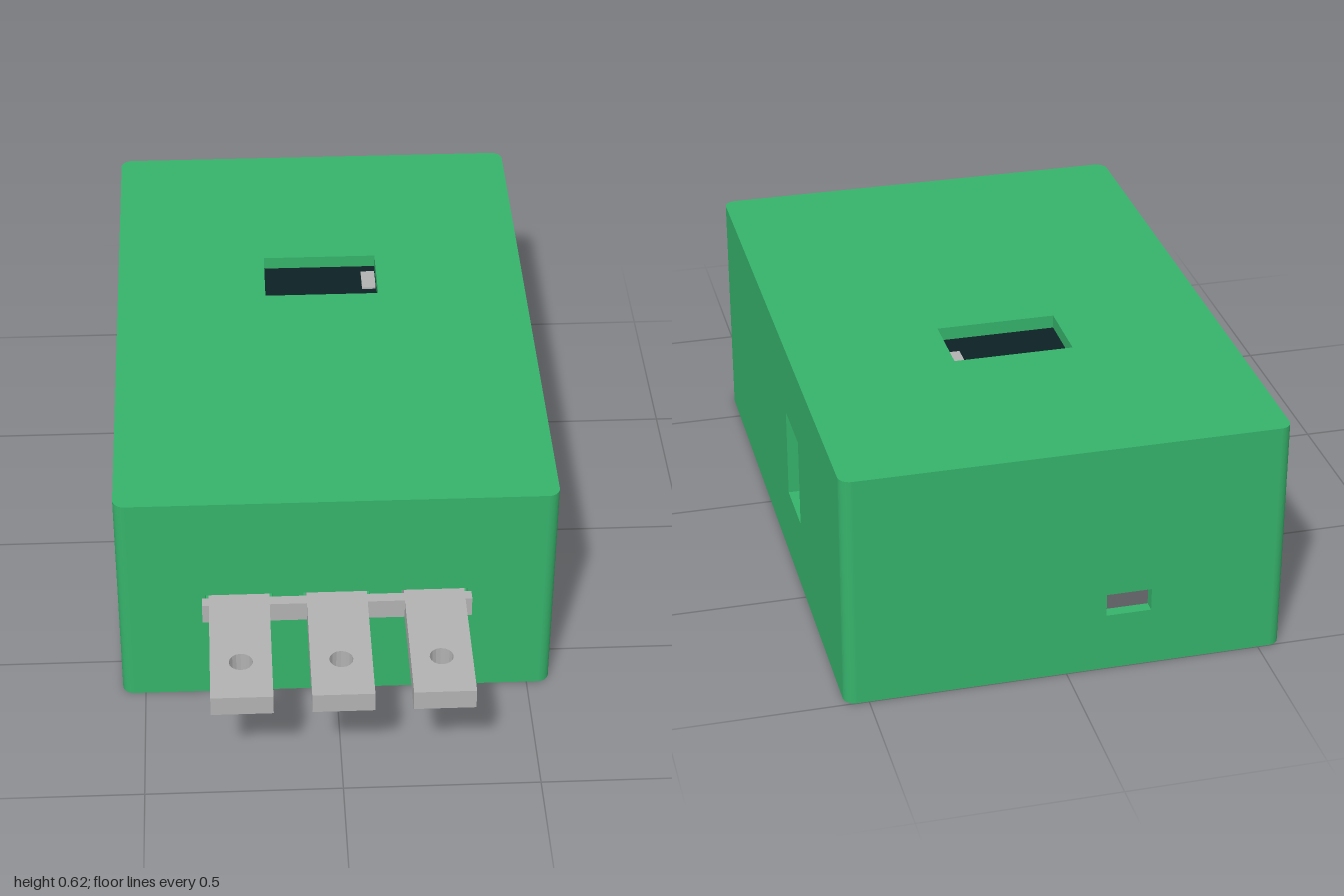
import * as THREE from 'three';

const mat = (name, color) => {
  const m = new THREE.MeshStandardMaterial({ color });
  m.name = name;
  return m;
};

// Rectangle path from two corners, with optional corner radius
function rect(path, x0, y0, x1, y1, r = 0) {
  if (!r) {
    path.moveTo(x0, y0).lineTo(x1, y0).lineTo(x1, y1).lineTo(x0, y1).closePath();
    return path;
  }
  path.moveTo(x0 + r, y0).lineTo(x1 - r, y0);
  path.absarc(x1 - r, y0 + r, r, -Math.PI / 2, 0);
  path.lineTo(x1, y1 - r).absarc(x1 - r, y1 - r, r, 0, Math.PI / 2);
  path.lineTo(x0 + r, y1).absarc(x0 + r, y1 - r, r, Math.PI / 2, Math.PI);
  path.lineTo(x0, y0 + r).absarc(x0 + r, y0 + r, r, Math.PI, Math.PI * 1.5);
  return path;
}

const extrude = (shape, depth) =>
  new THREE.ExtrudeGeometry(shape, { depth, bevelEnabled: false, curveSegments: 8 });

// Plate with rectangular openings, each given as [x0, y0, x1, y1]
function plate(outline, holes, depth) {
  const shape = rect(new THREE.Shape(), ...outline);
  holes.forEach(h => shape.holes.push(rect(new THREE.Path(), ...h)));
  return extrude(shape, depth);
}

export function createModel() {
  const green = mat('case green', 0x36b36b);
  const grey = mat('terminal grey', 0xb2b2b2);
  const dark = mat('display dark', 0x0d2226);
  const model = new THREE.Group();

  const add = (parent, name, geometry, material) => {
    const m = new THREE.Mesh(geometry, material);
    m.name = name;
    parent.add(m);
    return m;
  };
  // Box from its minimum and maximum corners
  const box = (parent, name, material, x0, y0, z0, x1, y1, z1) => {
    const m = add(parent, name, new THREE.BoxGeometry(x1 - x0, y1 - y0, z1 - z0), material);
    m.position.set((x0 + x1) / 2, (y0 + y1) / 2, (z0 + z1) / 2);
    return m;
  };

  const W = 0.56, H = 0.625, ZF = 0.625, ZB = -1, T = 0.03, ROOF = 0.59;
  const slots = [-0.25, 0, 0.25];

  // Hollow case, open underneath
  const shell = new THREE.Group();
  shell.name = 'case';
  model.add(shell);
  add(shell, 'frontWall', plate([-W + T, 0, W - T, ROOF],
    slots.map(x => [x - 0.085, 0.25, x + 0.085, 0.33]), T), green).position.z = ZF - T;
  add(shell, 'backWall', plate([-W + T, 0, W - T, ROOF],
    [[-0.215, 0.155, -0.1, 0.215]], T), green).position.z = ZB;
  for (const s of [1, -1]) {
    const holes = s > 0 ? [[0.29, 0.195, 0.455, 0.435]] : [];
    const wall = add(shell, s > 0 ? 'leftWall' : 'rightWall',
      plate([-ZF + T, 0, -ZB - T, ROOF], holes, T), green);
    wall.rotation.y = Math.PI / 2;
    wall.position.x = s > 0 ? W - T : -W;
  }
  const roof = add(shell, 'roof',
    plate([-W, -ZF, W, -ZB, T], [[-0.155, 0.285, 0.155, 0.47]], H - ROOF), green);
  roof.rotation.x = -Math.PI / 2;
  roof.position.y = ROOF;

  // Rounded vertical corners
  [[1, 1], [1, -1], [-1, -1], [-1, 1]].forEach(([sx, sz], i) => {
    const quarter = new THREE.Shape();
    quarter.moveTo(0, 0).lineTo(T, 0).absarc(0, 0, T, 0, Math.PI / 2).lineTo(0, 0);
    const g = extrude(quarter, ROOF).rotateX(-Math.PI / 2);
    const c = add(shell, 'corner', g, green);
    c.rotation.y = (i - 1) * Math.PI / 2;
    c.position.set(sx * (W - T), 0, sz > 0 ? ZF - T : ZB + T);
  });

  // Snap ridges for the base, inside the long walls
  for (const s of [1, -1]) for (const z of [0.075, -0.475]) {
    const x = s * (W - T);
    box(shell, 'snapRidge', green, x - 0.01, 0.02, z - 0.05, x + 0.01, 0.04, z + 0.05);
  }

  // Terminal holder: shelf, dividers and latches behind the front wall
  const holder = new THREE.Group();
  holder.name = 'terminalHolder';
  model.add(holder);
  box(holder, 'shelf', green, -0.37, 0.2, 0.315, 0.37, 0.225, ZF - T);
  for (const x of [-0.36, -0.125, 0.125, 0.36]) {
    const side = new THREE.Shape();
    side.moveTo(-0.595, 0.225).lineTo(-0.315, 0.225).lineTo(-0.315, 0.33).lineTo(-0.595, 0.36);
    const d = add(holder, 'divider', extrude(side, 0.02), green);
    d.rotation.y = Math.PI / 2;
    d.position.x = x - 0.01;
  }
  for (const x of slots) {
    box(holder, 'latchArm', green, x - 0.04, 0.345, 0.33, x + 0.04, 0.365, ZF - T);
    box(holder, 'latchHook', green, x - 0.04, 0.325, 0.33, x + 0.04, 0.345, 0.36);
  }

  // Terminal blades with a collar against the front wall
  const terminals = new THREE.Group();
  terminals.name = 'terminals';
  model.add(terminals);
  for (const x of slots) {
    const s = rect(new THREE.Shape(), -0.0775, -1, 0.0775, -0.36);
    s.holes.push(new THREE.Path().absarc(0, -0.87, 0.03, 0, Math.PI * 2));
    const blade = add(terminals, 'terminalBlade', extrude(s, 0.055), grey);
    blade.rotation.x = -Math.PI / 2;
    blade.position.set(x, 0.265, 0);
  }
  const edges = [-0.345, -0.3275, -0.1725, -0.0775, 0.0775, 0.1725, 0.3275, 0.345];
  for (let i = 0; i < edges.length; i += 2) {
    box(terminals, 'collar', grey, edges[i], 0.265, ZF, edges[i + 1], 0.32, 0.655);
  }

  // Display below the roof window
  box(model, 'display', dark, -0.165, 0.545, -0.48, 0.165, 0.588, -0.275);
  box(model, 'displayContact', grey, 0.115, 0.588, -0.44, 0.153, 0.593, -0.36);
  return model;
}
